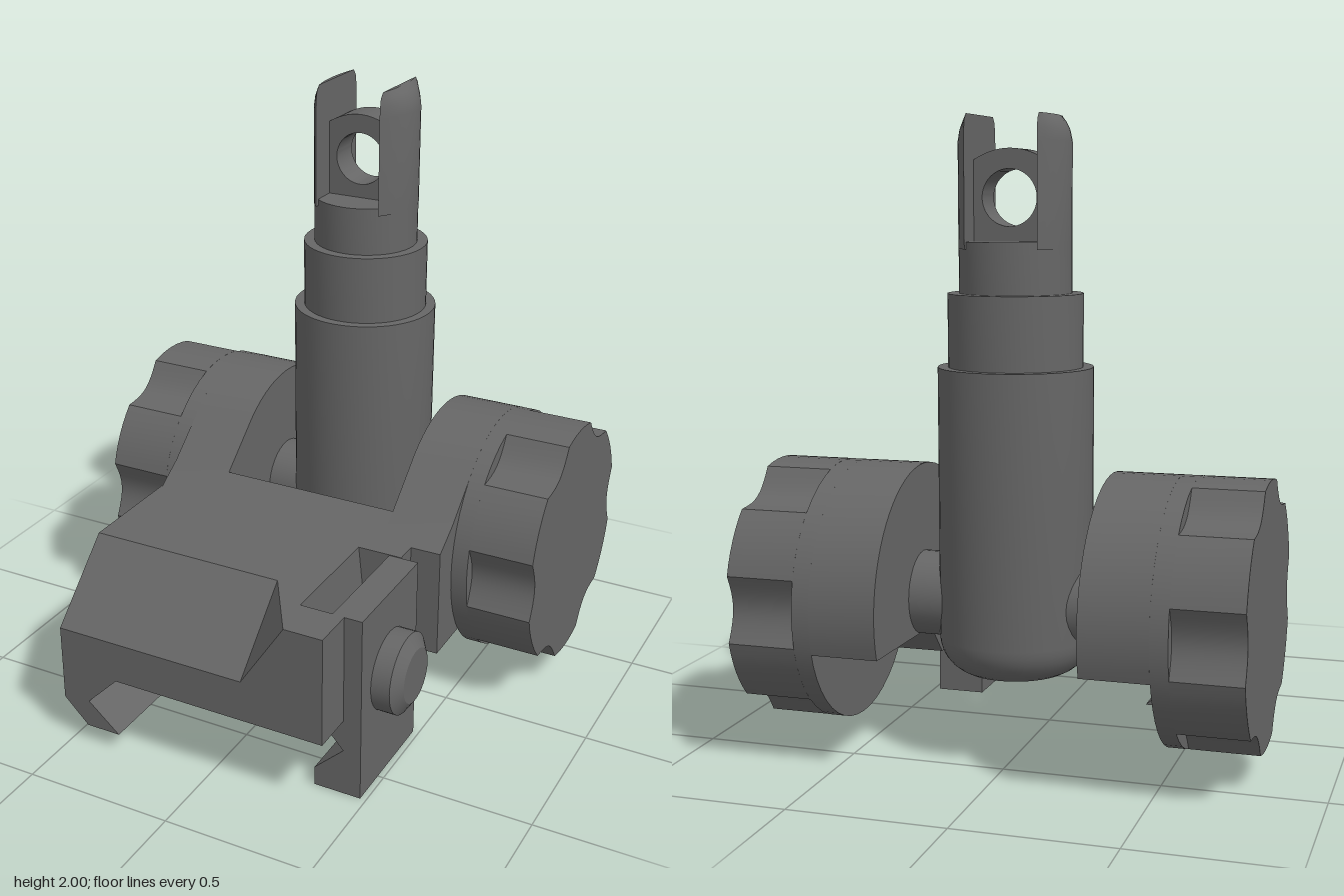
import * as THREE from 'three';
import { toCreasedNormals } from 'three/addons/utils/BufferGeometryUtils.js';
import { ConvexGeometry } from 'three/addons/geometries/ConvexGeometry.js';

const AXLE_Y = 0.51, AXLE_Z = -0.36, KNOB_R = 0.413;

const shapeOf = (pts) => new THREE.Shape(pts.map(([a, b]) => new THREE.Vector2(a, b)));

// Extrude an (x, y) outline between two z values
function extrudeZ(shape, z0, z1) {
  const g = new THREE.ExtrudeGeometry(shape, { depth: z1 - z0, bevelEnabled: false, curveSegments: 32 });
  g.translate(0, 0, z0);
  return toCreasedNormals(g, 0.5);
}

// Extrude a (z, y) outline between two x values
function extrudeX(shape, x0, x1) {
  const g = new THREE.ExtrudeGeometry(shape, { depth: x1 - x0, bevelEnabled: false, curveSegments: 32 });
  g.rotateY(-Math.PI / 2);
  g.translate(x1, 0, 0);
  return toCreasedNormals(g, 0.5);
}

const convex = (pts) => new ConvexGeometry(pts.map((p) => new THREE.Vector3(...p)));

function box(x0, x1, y0, y1, z0, z1) {
  const g = new THREE.BoxGeometry(x1 - x0, y1 - y0, z1 - z0);
  return g.translate((x0 + x1) / 2, (y0 + y1) / 2, (z0 + z1) / 2);
}

// Disc outline with six shallow scooped grips
function knobOutline() {
  const pts = [], half = Math.asin(0.105 / KNOB_R), step = Math.PI / 3;
  for (let i = 0; i < 6; i++) {
    for (let j = 0; j < 8; j++) {
      const t = -1 + j / 4, a = i * step + half * t;
      const r = KNOB_R - 0.048 * (1 - t * t);
      pts.push([AXLE_Z + r * Math.cos(a), AXLE_Y + r * Math.sin(a)]);
    }
    for (let j = 0; j < 6; j++) {
      const a = i * step + half + ((step - 2 * half) * j) / 6;
      pts.push([AXLE_Z + KNOB_R * Math.cos(a), AXLE_Y + KNOB_R * Math.sin(a)]);
    }
  }
  return shapeOf(pts);
}

// Hinge arm outline: slopes up from the base onto a disc, open below the axle
function armOutline() {
  const pts = [[0.15, 0.27], [0.15, 0.64], [0.055, 0.7]];
  for (let i = 0; i <= 28; i++) {
    const a = THREE.MathUtils.degToRad(47 + (150 * i) / 28);
    pts.push([AXLE_Z + KNOB_R * Math.cos(a), AXLE_Y + KNOB_R * Math.sin(a)]);
  }
  pts.push([-0.3, 0.38], [-0.2, 0.27]);
  return shapeOf(pts);
}

// Protective wing: bulged cross-sections that shrink toward a rounded top
function wingGeometry() {
  const levels = [[1.6, 0.06, 0.147], [1.92, 0.06, 0.147], [1.955, 0.052, 0.145],
    [1.982, 0.036, 0.14], [2, 0.014, 0.125]];
  const n = 12, pos = [], idx = [];
  for (const [y, t, w] of levels) {
    for (let j = 0; j <= n; j++) {
      const s = -1 + (2 * j) / n;
      pos.push(0.113 + t * (1 - s * s), y, AXLE_Z + w * s);
    }
  }
  const m = n + 1;
  for (let i = 0; i < levels.length - 1; i++) {
    for (let j = 0; j < m; j++) {
      const a = i * m + j, b = i * m + ((j + 1) % m);
      idx.push(a, a + m, b, b, a + m, b + m);
    }
  }
  const top = (levels.length - 1) * m;
  for (let j = 1; j < n; j++) idx.push(top, top + j + 1, top + j);
  const g = new THREE.BufferGeometry();
  g.setAttribute('position', new THREE.Float32BufferAttribute(pos, 3));
  g.setIndex(idx);
  return toCreasedNormals(g, 0.7);
}

export function createModel() {
  const model = new THREE.Group();
  model.name = 'foldingSight';
  const metal = new THREE.MeshStandardMaterial({ color: 0x666666 });
  metal.name = 'darkGreyMetal';
  const add = (name, geometry) => {
    const mesh = new THREE.Mesh(geometry, metal);
    mesh.name = name;
    model.add(mesh);
    return mesh;
  };

  // Base block with sloped front, and the stepped side around the clamp slot
  add('baseBlock', extrudeX(shapeOf([[0.15, 0.27], [0.77, 0.27], [0.77, 0.41], [0.53, 0.64], [0.15, 0.64]]), -0.525, 0.14));
  add('baseCorner', convex([
    [0.14, 0.27, 0.15], [0.14, 0.64, 0.15], [0.27, 0.27, 0.15], [0.27, 0.64, 0.15],
    [0.14, 0.27, 0.77], [0.27, 0.27, 0.77], [0.14, 0.41, 0.77], [0.14, 0.64, 0.53],
    [0.27, 0.64, 0.738], [0.27, 0.609, 0.77]]));
  add('slotFront', convex([
    [0.27, 0.27, 0.625], [0.42, 0.27, 0.625], [0.27, 0.64, 0.625], [0.42, 0.64, 0.625],
    [0.27, 0.27, 0.77], [0.42, 0.27, 0.77], [0.42, 0.64, 0.77],
    [0.27, 0.64, 0.738], [0.27, 0.609, 0.77], [0.29, 0.64, 0.77]]));
  add('slotBack', box(0.27, 0.42, 0.27, 0.64, 0.15, 0.225));
  add('slotSlope', extrudeZ(shapeOf([[0.27, 0.27], [0.31, 0.27], [0.27, 0.64]]), 0.225, 0.625));
  add('bridge', extrudeX(shapeOf([[0.055, 0.27], [0.15, 0.27], [0.15, 0.64], [0.055, 0.7]]), -0.31, 0.31));

  // Fixed rail lip on one side, movable clamp with bolt on the other
  add('railLip', extrudeZ(shapeOf([[-0.525, 0.28], [-0.525, 0.15], [-0.44, 0.065], [-0.32, 0.065],
    [-0.43, 0.16], [-0.32, 0.27], [-0.32, 0.28]]), 0.06, 0.77));
  add('clamp', extrudeZ(shapeOf([[0.32, 0], [0.48, 0], [0.48, 0.64], [0.38, 0.64], [0.38, 0.27],
    [0.32, 0.27], [0.42, 0.16], [0.32, 0.065]]), 0.228, 0.628));
  const bolt = toCreasedNormals(new THREE.LatheGeometry(
    [[0, 0], [0.134, 0], [0.134, 0.065], [0.09, 0.093], [0, 0.093]].map((p) => new THREE.Vector2(...p)), 32), 0.4);
  bolt.rotateZ(-Math.PI / 2);
  bolt.translate(0.478, 0.365, 0.43);
  add('clampBolt', bolt);

  // Hinge arms and knobs on both sides
  for (const [side, s] of [['left', 1], ['right', -1]]) {
    const span = (a, b) => (s > 0 ? [a, b] : [-b, -a]);
    add(side + 'Arm', extrudeX(armOutline(), ...span(0.31, 0.522)));
    const ring = new THREE.CylinderGeometry(KNOB_R, KNOB_R, 0.055, 48);
    ring.rotateZ(Math.PI / 2);
    ring.translate(s * 0.5495, AXLE_Y, AXLE_Z);
    add(side + 'KnobRing', ring);
    add(side + 'Knob', extrudeX(knobOutline(), ...span(0.577, 0.794)));
  }
  const axle = new THREE.CylinderGeometry(0.133, 0.133, 1.05, 32);
  axle.rotateZ(Math.PI / 2);
  axle.translate(0, AXLE_Y, AXLE_Z);
  add('axle', axle);

  // Stepped post with a rounded foot
  const profile = [[0, 0.28]];
  for (let i = 0; i <= 8; i++) {
    const a = (i / 8) * Math.PI / 2;
    profile.push([0.12 + 0.12 * Math.sin(a), 0.4 - 0.12 * Math.cos(a)]);
  }
  profile.push([0.24, 1.24], [0.208, 1.24], [0.208, 1.465], [0.173, 1.465], [0.173, 1.622], [0, 1.622]);
  const post = new THREE.LatheGeometry(profile.map((p) => new THREE.Vector2(...p)), 48);
  post.translate(0, 0, AXLE_Z);
  add('post', toCreasedNormals(post, 0.6));

  // Wings either side of the aperture
  const wing = wingGeometry();
  add('leftWing', wing);
  const mirrored = wing.clone().rotateY(Math.PI);
  mirrored.translate(0, 0, 2 * AXLE_Z);
  add('rightWing', mirrored);

  // Aperture plate with arched top and round hole
  const plate = new THREE.Shape();
  plate.moveTo(-0.114, 1.61);
  plate.lineTo(0.114, 1.61);
  plate.lineTo(0.114, 1.865);
  plate.quadraticCurveTo(0, 1.935, -0.114, 1.865);
  plate.closePath();
  const hole = new THREE.Path();
  hole.absarc(0, 1.753, 0.086, 0, Math.PI * 2, true);
  plate.holes.push(hole);
  add('aperture', extrudeZ(plate, -0.42, -0.31));

  return model;
}
